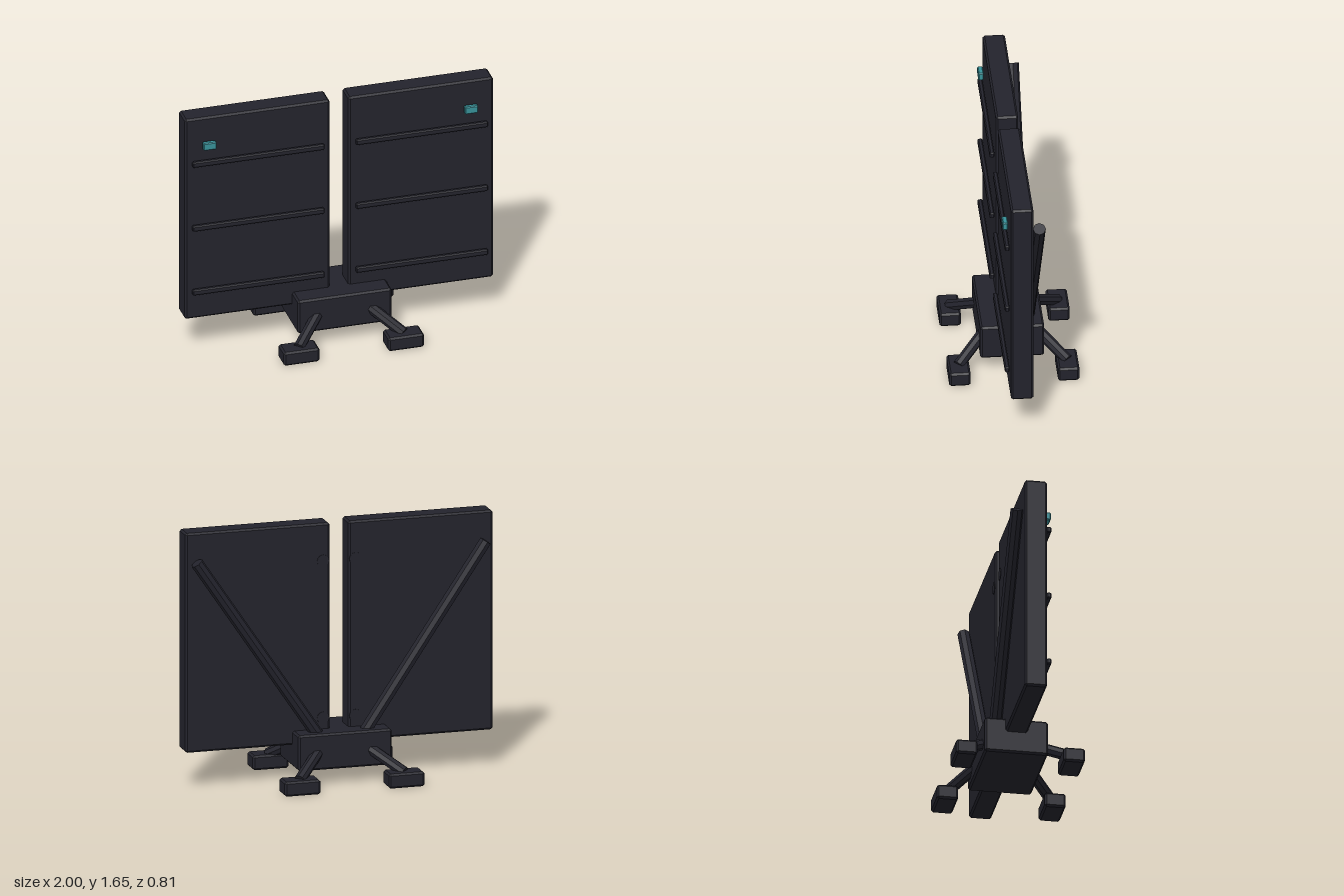
import * as THREE from 'three';
import { ConvexGeometry } from 'three/addons/geometries/ConvexGeometry.js';

const dark = new THREE.MeshStandardMaterial({ color: 0x23232c });
dark.name = 'darkMetal';
const teal = new THREE.MeshStandardMaterial({ color: 0x38929a });
teal.name = 'tealLight';

// Box with chamfered edges, as the hull of three points per corner
function chamferBox(w, h, d, c) {
  const points = [];
  for (const sx of [-1, 1]) for (const sy of [-1, 1]) for (const sz of [-1, 1]) {
    const x = w / 2, y = h / 2, z = d / 2;
    points.push(
      new THREE.Vector3(sx * x, sy * (y - c), sz * (z - c)),
      new THREE.Vector3(sx * (x - c), sy * y, sz * (z - c)),
      new THREE.Vector3(sx * (x - c), sy * (y - c), sz * z));
  }
  return new ConvexGeometry(points);
}

// Faceted rod between two points
function rodGeometry(from, to, radius) {
  const a = new THREE.Vector3(...from), b = new THREE.Vector3(...to);
  const dir = b.clone().sub(a);
  const geo = new THREE.CylinderGeometry(radius, radius, dir.length(), 8).toNonIndexed();
  geo.computeVertexNormals();
  const turn = new THREE.Quaternion().setFromUnitVectors(new THREE.Vector3(0, 1, 0), dir.normalize());
  geo.applyQuaternion(turn);
  const mid = a.add(b).multiplyScalar(0.5);
  return geo.translate(mid.x, mid.y, mid.z);
}

export function createModel() {
  const model = new THREE.Group();
  model.name = 'twinPanelStand';

  function add(name, geometry, material, x = 0, y = 0, z = 0) {
    const mesh = new THREE.Mesh(geometry, material);
    mesh.name = name;
    mesh.position.set(x, y, z);
    model.add(mesh);
    return mesh;
  }

  // Central base block
  add('base', chamferBox(0.61, 0.23, 0.4, 0.012), dark, 0, 0.215, 0);

  const panel = chamferBox(0.94, 1.412, 0.14, 0.012);
  const slat = chamferBox(0.855, 0.038, 0.03, 0.007);
  const light = chamferBox(0.085, 0.052, 0.034, 0.006);
  const foot = chamferBox(0.232, 0.094, 0.134, 0.012);
  const disc = new THREE.CylinderGeometry(0.04, 0.04, 0.006, 12).rotateX(Math.PI / 2);

  for (const s of [-1, 1]) {
    const side = s > 0 ? 'left' : 'right';

    // Upright panel with its front slats and indicator light
    add(side + 'Panel', panel, dark, s * 0.53, 0.946, 0);
    for (const y of [0.438, 0.89, 1.342]) add(side + 'Slat', slat, dark, s * 0.53, y, 0.09);
    add(side + 'Light', light, teal, s * 0.848, 1.465, 0.096);

    // Diagonal back brace and hinge discs
    add(side + 'Brace', rodGeometry([s * 0.1, 0.226, -0.112], [s * 0.94, 1.47, -0.112], 0.04), dark);
    for (const y of [0.4, 1.41]) add(side + 'HingeDisc', disc, dark, s * 0.105, y, -0.07);

    // Splayed legs and feet, front and back
    for (const t of [-1, 1]) {
      const end = t > 0 ? 'Front' : 'Back';
      add(side + end + 'Leg', rodGeometry([s * 0.16, 0.215, t * 0.16], [s * 0.34, 0.085, t * 0.34], 0.036), dark);
      add(side + end + 'Foot', foot, dark, s * 0.339, 0.047, t * 0.34);
    }
  }
  return model;
}
